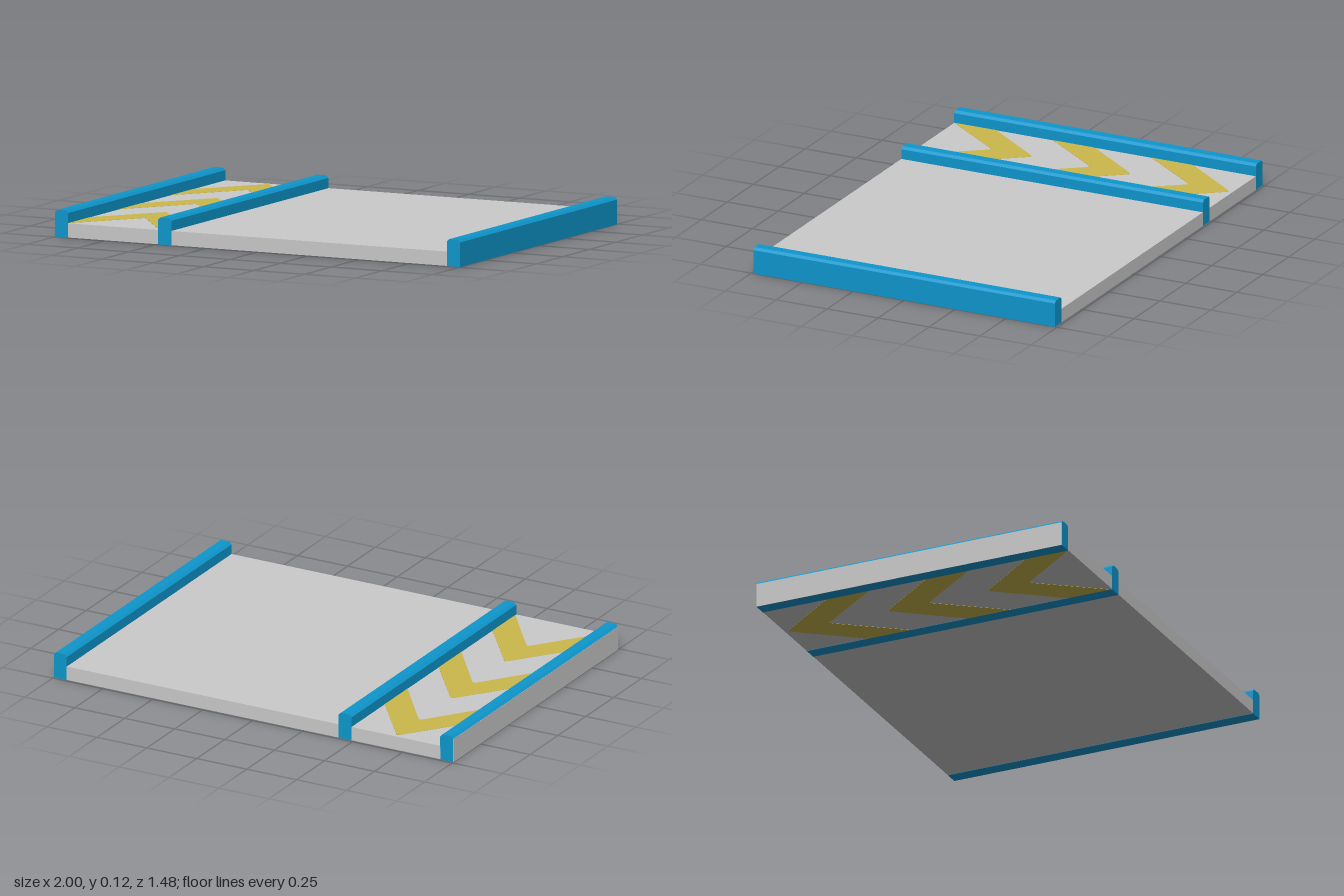
import * as THREE from 'three';

const HALF = 0.74;      // half length along z
const RAIL_W = 0.065, RAIL_H = 0.12, BEVEL = 0.011;
const DECK_H = 0.064;

export function createModel() {
  const group = new THREE.Group();
  const mat = (name, color) => {
    const m = new THREE.MeshStandardMaterial({ color });
    m.name = name;
    return m;
  };
  const grey = mat('concreteGrey', 0xcacaca);
  const blue = mat('railBlue', 0x0e97cd);
  const yellow = mat('markingYellow', 0xcab84b);

  const add = (name, geometry, material, x = 0, y = 0, z = 0) => {
    const mesh = new THREE.Mesh(geometry, material);
    mesh.name = name;
    mesh.position.set(x, y, z);
    group.add(mesh);
  };

  // Deck slabs between the rails
  const slab = (name, x0, x1) => add(name,
    new THREE.BoxGeometry(x1 - x0, DECK_H - 0.001, HALF * 2), grey,
    (x0 + x1) / 2, (DECK_H + 0.001) / 2, 0);
  slab('laneDeck', -0.935, -0.49);
  slab('mainDeck', -0.425, 0.935);

  // Rails with chamfered top edges
  const w = RAIL_W / 2;
  const profile = new THREE.Shape([
    [-w, 0], [w, 0], [w, RAIL_H - BEVEL], [w - BEVEL, RAIL_H],
    [BEVEL - w, RAIL_H], [-w, RAIL_H - BEVEL],
  ].map(([x, y]) => new THREE.Vector2(x, y)));
  const railGeo = new THREE.ExtrudeGeometry(profile, { depth: HALF * 2, bevelEnabled: false });
  railGeo.translate(0, 0, -HALF);
  add('outerLaneRail', railGeo, blue, -0.9665);
  add('dividerRail', railGeo, blue, -0.4575);
  add('outerDeckRail', railGeo, blue, 0.9675);

  // Grey outer face of the lane rail
  add('railSideFace', new THREE.BoxGeometry(0.002, RAIL_H - BEVEL, HALF * 2), grey,
    -0.999, (RAIL_H - BEVEL) / 2, 0);

  // Chevron markings, on the top and underside of the lane
  const chevron = new THREE.Shape([
    [-0.935, 0.29], [-0.722, 0.01], [-0.71, 0], [-0.698, 0.01], [-0.49, 0.28],
    [-0.49, 0.485], [-0.698, 0.21], [-0.71, 0.2], [-0.722, 0.21], [-0.935, 0.495],
  ].map(([x, z]) => new THREE.Vector2(x, z)));
  const chevronGeo = new THREE.ExtrudeGeometry(chevron, { depth: 0.002, bevelEnabled: false });
  chevronGeo.rotateX(Math.PI / 2);
  for (let i = 0; i < 3; i++) {
    const z = -0.722 + i * 0.484;
    add('chevronTop', chevronGeo, yellow, 0, DECK_H + 0.001, z);
    add('chevronUnderside', chevronGeo, yellow, 0, 0.002, z);
  }
  return group;
}
